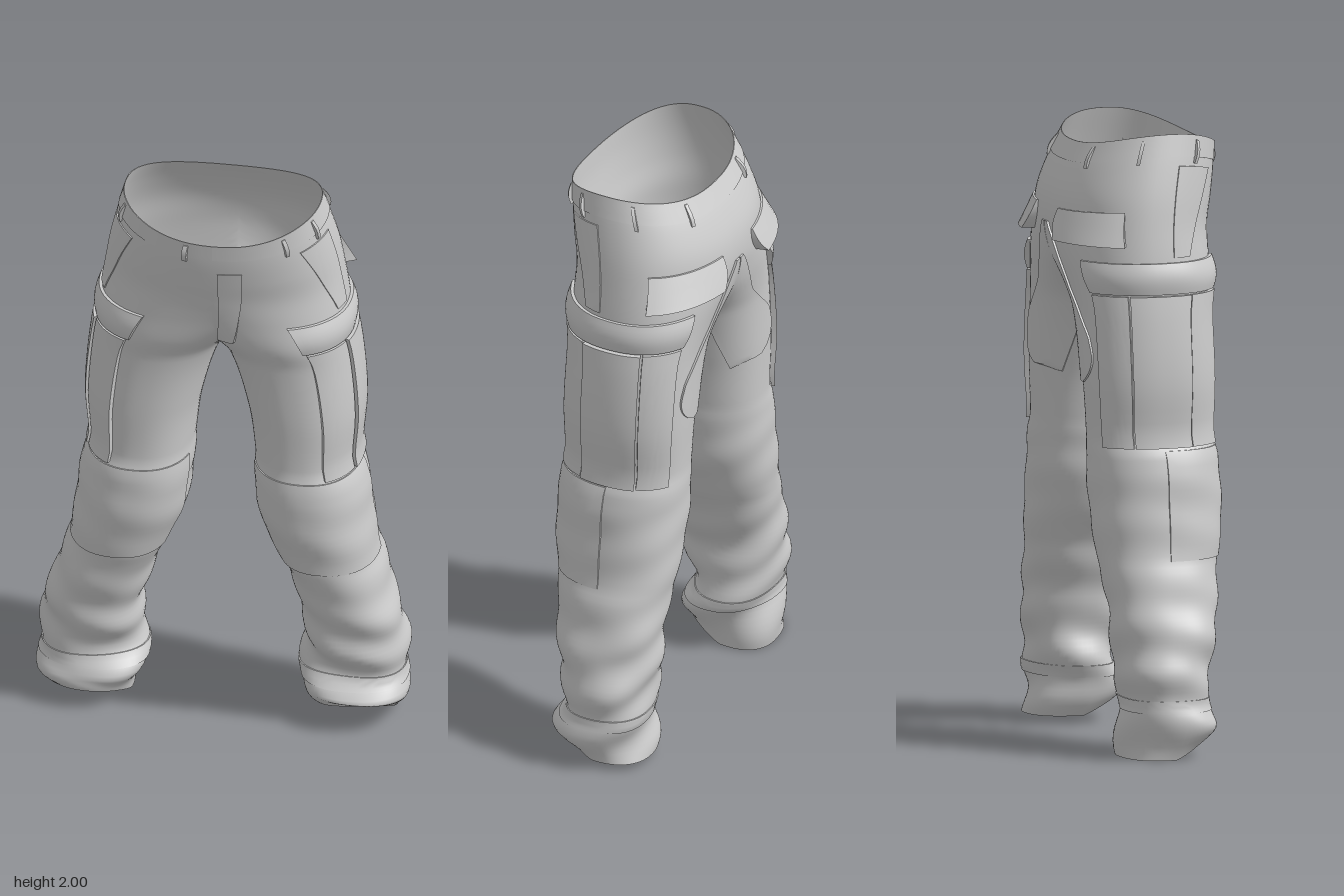
import * as THREE from 'three';
import { mergeVertices, mergeGeometries, toCreasedNormals } from 'three/addons/utils/BufferGeometryUtils.js';

// Cross-sections of one trouser half: y, inner x, outer x, back z, front z
const SECTIONS = [
  [0.03, 0.31, 0.575, -0.165, 0.14],
  [0.12, 0.268, 0.605, -0.15, 0.165],
  [0.2, 0.262, 0.61, -0.15, 0.115],
  [0.3, 0.27, 0.6, -0.168, 0.142],
  [0.4, 0.268, 0.58, -0.17, 0.162],
  [0.6, 0.2, 0.515, -0.185, 0.192],
  [0.64, 0.182, 0.5, -0.19, 0.2],
  [0.8, 0.12, 0.475, -0.2, 0.218],
  [0.97, 0.1, 0.45, -0.2, 0.218],
  [1.02, 0.1, 0.425, -0.197, 0.205],
  [1.2, 0.075, 0.43, -0.203, 0.205],
  [1.42, 0.005, 0.418, -0.21, 0.21],
  [1.5, -0.07, 0.41, -0.22, 0.23],
  [1.6, -0.22, 0.4, -0.238, 0.24],
  [1.7, -0.385, 0.385, -0.25, 0.255],
  [1.8, -0.368, 0.368, -0.24, 0.27],
  [1.9, -0.345, 0.345, -0.207, 0.282],
  [2.0, -0.318, 0.318, -0.16, 0.288],
];
const TOP = 2.0, HEM = 0.03, DEG = Math.PI / 180, POWER = 2.25;
const clamp01 = (v) => THREE.MathUtils.clamp(v, 0, 1);
const lerp = THREE.MathUtils.lerp;

// Smooth interpolation of column k at height y
function section(y, k) {
  const S = SECTIONS, last = S.length - 1;
  let i = 0;
  while (i < last - 1 && S[i + 1][0] < y) i++;
  const slope = (a, b) => (S[b][k] - S[a][k]) / (S[b][0] - S[a][0]);
  const h = S[i + 1][0] - S[i][0], t = clamp01((y - S[i][0]) / h);
  const m0 = slope(Math.max(i - 1, 0), i + 1), m1 = slope(i, Math.min(i + 2, last));
  const t2 = t * t, t3 = t2 * t;
  return (2 * t3 - 3 * t2 + 1) * S[i][k] + (t3 - 2 * t2 + t) * h * m0
    + (3 * t2 - 2 * t3) * S[i + 1][k] + (t3 - t2) * h * m1;
}

// Front angle at which the section at height y reaches a given x
function angleAt(y, x) {
  const xi = section(y, 1), xo = section(y, 2);
  const q = THREE.MathUtils.clamp((2 * x - xi - xo) / (xo - xi), -1, 1);
  return Math.acos(Math.sign(q) * Math.abs(q) ** (POWER / 2)) / DEG;
}

// Point on the cloth: angle 0 is outer side, 90 front, 180 inner, -90 back
function clothPoint(side, deg, y, off = 0) {
  const a = deg * DEG, c = Math.cos(a), s = Math.sin(a);
  const xi = section(y, 1), xo = section(y, 2), zb = section(y, 3), zf = section(y, 4);
  // Soft folds gathering toward the ankle
  const amp = 0.006 * clamp01((0.6 - y) / 0.3) + 0.002 * clamp01((1.0 - y) / 0.1);
  const fold = amp * (Math.sin(y * 40 + 2.6 * Math.sin(a + side) + side) + 0.6 * Math.sin(y * 23 - 3 * a));
  const cx = (xi + xo) / 2, rx = (xo - xi) / 2 + off + fold;
  const cz = (zb + zf) / 2, rz = (zf - zb) / 2 + off + fold;
  const pow = (v) => Math.sign(v) * Math.abs(v) ** (2 / POWER);
  let x = cx + rx * pow(c), z = rz * pow(s);
  // Above the crotch the two halves meet on the centre plane
  if (x < 1e-5) {
    x = 0;
    z = Math.sign(s) * rz * Math.max(0, 1 - Math.abs(cx / rx) ** POWER) ** (1 / POWER);
  }
  // Curved waist rim; hem raised over the instep
  const rim = clamp01((y - 1.65) / 0.35), hem = clamp01((0.13 - y) / 0.1);
  const dy = -rim * s * s * (s > 0 ? 0.068 : 0.048)
    + hem * (-0.025 + 0.075 * Math.max(0, s) + (side > 0 ? 0.025 : 0));
  if (side > 0) x -= 0.015 * clamp01((0.6 - y) / 0.2);
  return [side * x, y + dy, cz + z];
}

// Grid of points to triangles; rows run downward, columns by rising angle
function gridGeometry(rows, side) {
  const pos = rows.flat(2), idx = [], w = rows[0].length;
  for (let i = 0; i < rows.length - 1; i++) {
    for (let j = 0; j < w - 1; j++) {
      const a = i * w + j, b = a + w, c = b + 1, d = a + 1;
      if ([a, b, c, d].every((v) => Math.abs(pos[v * 3]) < 1e-5)) continue;
      if (side > 0) idx.push(a, d, c, a, c, b);
      else idx.push(a, c, d, a, b, c);
    }
  }
  const g = new THREE.BufferGeometry();
  g.setAttribute('position', new THREE.Float32BufferAttribute(pos, 3));
  g.setIndex(idx);
  return g;
}

function legShell(side) {
  const rows = [], NR = 110, NC = 72;
  for (let i = 0; i <= NR; i++) {
    const y = lerp(TOP, HEM, i / NR), row = [];
    for (let j = 0; j <= NC; j++) row.push(clothPoint(side, -180 + (360 * j) / NC, y));
    rows.push(row);
  }
  return gridGeometry(rows, side);
}

// Sewn-on panel hugging the cloth between heights y1 and y0 and angles a0 and a1.
// Angles and thickness may be functions of v (0 at the top) and y.
function panel(side, y1, y0, a0, a1, offset, nu = 14, nv = 12) {
  const at = (f, v) => (typeof f === 'function' ? f(v, lerp(y1, y0, v)) : f);
  const rows = [];
  for (let i = -1; i <= nv + 1; i++) {
    const v = clamp01(i / nv), row = [];
    for (let j = -1; j <= nu + 1; j++) {
      const u = clamp01(j / nu);
      const edge = i < 0 || j < 0 || i > nv || j > nu;
      const off = edge ? 0 : at(offset, v);
      row.push(clothPoint(side, lerp(at(a0, v), at(a1, v), u), lerp(y1, y0, v), off));
    }
    rows.push(row);
  }
  return toCreasedNormals(gridGeometry(rows, side), 0.7);
}

export function createModel() {
  const group = new THREE.Group();
  const cloth = new THREE.MeshStandardMaterial({ color: 0xcccccc, side: THREE.DoubleSide });
  const add = (name, geometry) => {
    const mesh = new THREE.Mesh(geometry, cloth);
    mesh.name = name;
    group.add(mesh);
  };
  const puff = (base, rise) => (v) => base + rise * Math.sin(v * Math.PI);

  // Main body: both halves welded along the centre seam
  const body = mergeVertices(mergeGeometries([legShell(1), legShell(-1)]), 1e-4);
  body.computeVertexNormals();
  add('trouserBody', body);

  for (const side of [1, -1]) {
    const label = (part) => (side > 0 ? 'left' : 'right') + part;
    add(label('Waistband'), panel(side, 2.0, 1.93, -90, 90, 0.003, 36, 3));

    // Belt loops
    for (const a of [side > 0 ? 49 : 77, 22, -20, -62]) {
      add(label('BeltLoop'), panel(side, 1.985, 1.91, a - 1.3, a + 1.3, puff(0.006, 0.009), 2, 5));
    }

    // Hip pocket with slanted opening
    add(label('HipPocket'), panel(side, 1.9, 1.61, 8, (v) => lerp(40, 22, v), 0.004));

    // Back pocket flap, lifting away at its lower edge
    add(label('BackPocketFlap'), panel(side, 1.76, 1.65, -77, -24, (v) => 0.006 + 0.036 * v, 12, 5));

    // Seat reinforcement: narrow at the centre seam, rounded at the lower end
    const round = (v) => Math.sqrt(Math.max(0, 1 - Math.max(0, (v - 0.75) / 0.25) ** 2));
    const seatInner = (v, y) => -angleAt(y, lerp(0.002, 0.125, Math.max(0, v - 0.4) / 0.6));
    const seatWidth = (v) => (0.02 + 0.2 * clamp01(v * 1.5)) * round(v);
    add(label('SeatPatch'), panel(side, 1.7, 1.18, seatInner,
      (v, y) => -angleAt(y, lerp(0.002, 0.125, Math.max(0, v - 0.4) / 0.6) + seatWidth(v)), 0.007, 14, 28));

    // Cargo pocket: three pleated panels under a flap
    add(label('CargoPocketFront'), panel(side, 1.49, 1.0, 22, 63, puff(0.012, 0.006)));
    add(label('CargoPocketMiddle'), panel(side, 1.49, 1.0, -26, 20, puff(0.018, 0.008)));
    add(label('CargoPocketBack'), panel(side, 1.49, 1.0, -62, -28, puff(0.012, 0.006)));
    add(label('CargoFlap'), panel(side, 1.595, 1.495, -64, 66, puff(0.01, 0.01), 24, 6));

    // Knee patch and cuff strap
    add(label('KneePatch'), panel(side, 0.99, 0.64, -2, 160, puff(0.004, 0.004), 24, 14));
    add(label('CuffStrap'), panel(side, 0.2, 0.16, -180, 180, 0.004, 48, 4));
  }

  // Fly cover, slightly left of the centre seam
  add('flyCover', panel(1, 1.86, 1.53, (v, y) => angleAt(y, 0.095 - 0.03 * v * v),
    (v, y) => angleAt(y, 0.015), (v) => 0.004 + 0.012 * v * v, 6, 16));
  return group;
}
